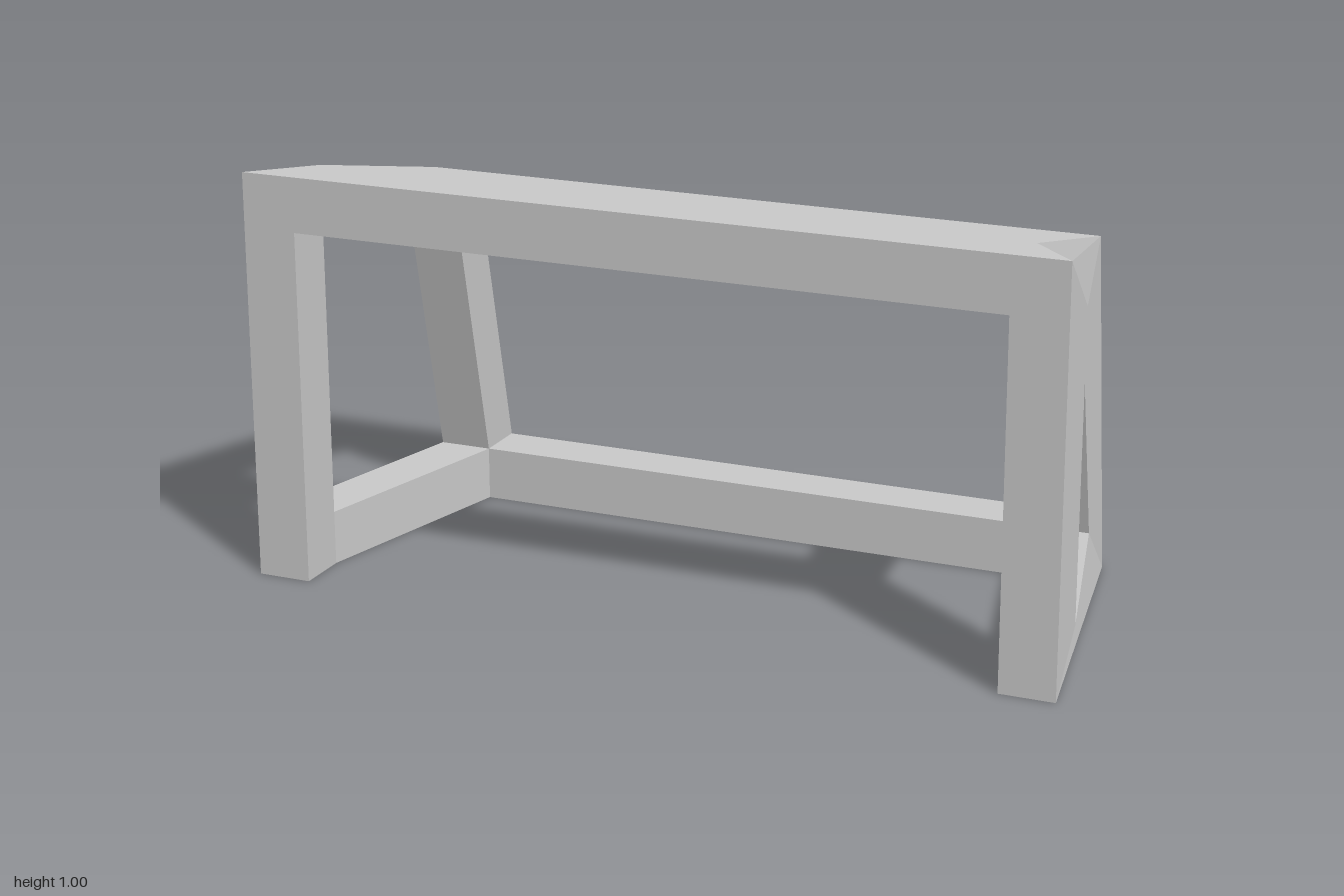
import * as THREE from 'three';

const T = 0.133; // bar thickness

// Outer corner of the tapered frame for signs s = [x, y, z] (+z is the front)
function outerCorner([sx, sy, sz]) {
  if (sz > 0) return [sx, sy > 0 ? 1 : 0, 0.418];
  return sy > 0 ? [sx * 0.867, 0.867, -0.285] : [sx * 0.867, 0, -0.418];
}

// Corner point moved inward by the bar thickness along the listed axes
function corner(s, ...axes) {
  const p = outerCorner(s);
  for (const a of axes) p[a] -= s[a] * T;
  return p;
}

function facetedMesh(name, polygons, material) {
  const positions = [];
  for (const p of polygons) {
    for (let i = 1; i < p.length - 1; i++) positions.push(...p[0], ...p[i], ...p[i + 1]);
  }
  const geometry = new THREE.BufferGeometry();
  geometry.setAttribute('position', new THREE.Float32BufferAttribute(positions, 3));
  geometry.computeVertexNormals();
  const mesh = new THREE.Mesh(geometry, material);
  mesh.name = name;
  return mesh;
}

// Mitred bar along axis k; s holds the signs of the two other axes
function barFaces(k, s) {
  const faces = [];
  for (const m of [(k + 1) % 3, (k + 2) % 3]) {
    const n = 3 - k - m;
    let a = [...s], b = [...s];
    a[k] = -1;
    b[k] = 1;
    // run counter-clockwise around the outer face
    const parity = k === (m + 1) % 3 ? 1 : -1;
    if (s[m] * s[n] * parity > 0) [a, b] = [b, a];
    const fa = corner(a, k, n), fb = corner(b, k, n);
    faces.push([corner(a), corner(b), fb, fa]); // outer face
    faces.push([fa, fb, corner(b, 0, 1, 2), corner(a, 0, 1, 2)]); // wall of the opening
  }
  return faces;
}

// Square end of a front leg, which has no lower rail attached
function footFaces(sx) {
  const s = [sx, -1, 1];
  const o = corner(s), g = corner(s, 0), f = corner(s, 0, 1);
  const b = corner(s, 0, 2), n = corner(s, 0, 1, 2);
  const faces = [[o, f, g], [o, g, b], [g, f, n, b]];
  return sx > 0 ? faces : faces.map((p) => [...p].reverse());
}

export function createModel() {
  const group = new THREE.Group();
  group.name = 'taperedFrame';
  const material = new THREE.MeshStandardMaterial({ color: 0xcccccc, flatShading: true });
  const add = (name, faces) => group.add(facetedMesh(name, faces, material));

  // Long rails
  add('frontTopRail', barFaces(0, [0, 1, 1]));
  add('backTopRail', barFaces(0, [0, 1, -1]));
  add('backBottomRail', barFaces(0, [0, -1, -1]));

  // Legs, end rails and feet on both sides
  for (const [sx, side] of [[1, 'left'], [-1, 'right']]) {
    add(side + 'FrontLeg', barFaces(1, [sx, 0, 1]));
    add(side + 'BackLeg', barFaces(1, [sx, 0, -1]));
    add(side + 'TopRail', barFaces(2, [sx, 1, 0]));
    add(side + 'BottomRail', barFaces(2, [sx, -1, 0]));
    add(side + 'FrontFoot', footFaces(sx));
  }
  return group;
}
